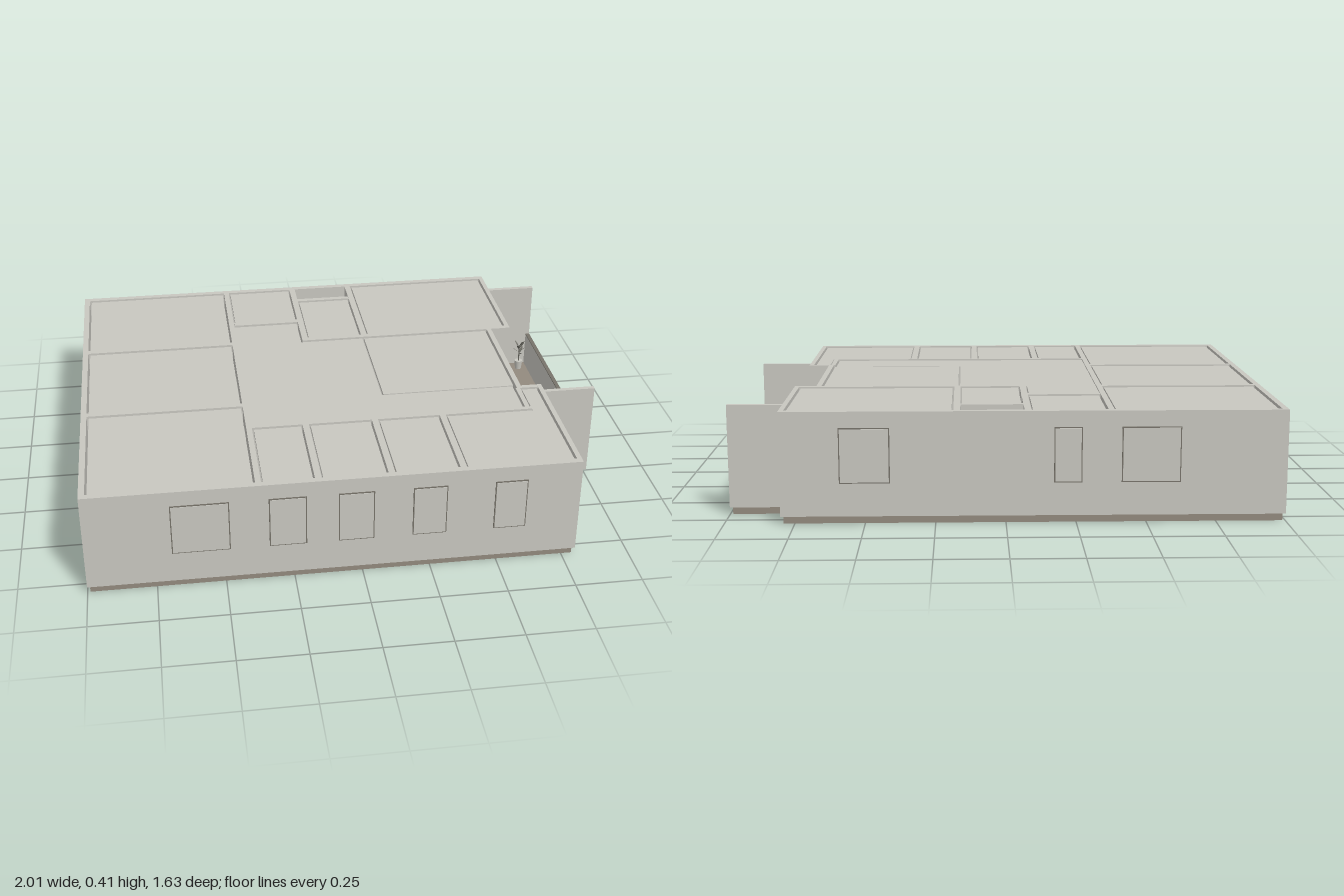
import * as THREE from 'three';

const FLOOR = 0.027, TOP = 0.405;

export function createModel() {
  const model = new THREE.Group();
  const plaster = new THREE.MeshStandardMaterial({ color: 0xc8c7c0 });
  plaster.name = 'pale grey plaster';
  const stone = new THREE.MeshStandardMaterial({ color: 0x938a7e });
  stone.name = 'brown floor';
  const trim = new THREE.MeshStandardMaterial({ color: 0x77736a });
  trim.name = 'dark trim';
  const leafMat = new THREE.MeshStandardMaterial({ color: 0x6b6a62, side: THREE.DoubleSide });
  leafMat.name = 'leaf grey';

  function add(name, geometry, material, parent = model) {
    const mesh = new THREE.Mesh(geometry, material);
    mesh.name = name;
    parent.add(mesh);
    return mesh;
  }
  // box given by its minimum and maximum corners
  function box(name, x0, x1, y0, y1, z0, z1, material = plaster, parent = model) {
    const mesh = add(name, new THREE.BoxGeometry(x1 - x0, y1 - y0, z1 - z0), material, parent);
    mesh.position.set((x0 + x1) / 2, (y0 + y1) / 2, (z0 + z1) / 2);
    return mesh;
  }
  // wall running along 'x' or 'z' from a to b, spanning c0..c1 across, with doorways [from, to]
  function wall(name, axis, a, b, c0, c1, doors = []) {
    const piece = (n, p, q, y0) => axis === 'x'
      ? box(n, p, q, y0, TOP, c0, c1) : box(n, c0, c1, y0, TOP, p, q);
    let start = a;
    for (const [p, q] of doors) {
      piece(name, start, p, FLOOR);
      piece(name + 'Lintel', p, q, 0.342);
      start = q;
    }
    piece(name, start, b, FLOOR);
  }

  // floor slab and balcony slab
  box('floorSlab', -0.99, 0.79, 0, FLOOR, -0.8, 0.8, stone);
  box('balconySlab', 0.79, 0.99, 0, FLOOR, -0.665, 0.28, stone);

  // outer walls
  wall('backWall', 'x', -1, 0.8, -0.81, -0.785);
  wall('frontWall', 'x', -1, 0.8, 0.785, 0.81);
  wall('entranceWall', 'z', -0.785, 0.785, -1, -0.978, [[-0.22, -0.093]]);
  wall('bedroomEndWall', 'z', -0.785, -0.28, 0.782, 0.8);
  wall('studyEndWall', 'z', 0.225, 0.785, 0.782, 0.8);
  wall('balconyDoorWall', 'z', -0.28, 0.225, 0.698, 0.718, [[-0.175, 0.13]]);

  // partitions
  wall('rearPartition', 'x', -0.978, -0.365, -0.302, -0.278);
  wall('bedroomPartition', 'x', -0.09, 0.782, -0.302, -0.278, [[-0.02, 0.08]]);
  wall('frontPartition', 'x', -0.978, -0.365, 0.218, 0.242);
  wall('balconyReturn', 'x', 0.698, 0.782, 0.225, 0.245);
  wall('bathPartition', 'x', -0.362, -0.065, -0.482, -0.455, [[-0.28, -0.19]]);
  wall('shaftPartition', 'x', -0.07, 0.16, -0.682, -0.66);
  wall('hallFrontPartition', 'x', -0.365, 0.715, 0.392, 0.41,
    [[-0.32, -0.22], [-0.08, 0.02], [0.18, 0.28], [0.45, 0.55]]);
  wall('hallPartition', 'z', -0.785, 0.785, -0.384, -0.363,
    [[-0.43, -0.34], [-0.113, 0.13], [0.28, 0.37]]);
  wall('bathSide', 'z', -0.785, -0.278, -0.09, -0.066);
  wall('bedroomSide', 'z', -0.785, -0.278, 0.161, 0.185);
  wall('studyNib', 'z', 0.245, 0.41, 0.692, 0.71);
  for (const x of [-0.16, 0.104, 0.365]) wall('frontRoomDivider', 'z', 0.41, 0.785, x - 0.012, x + 0.012);

  // ceilings, each a panel set just inside its walls: x0, x1, z0, z1
  const ceilings = [
    [-0.97, -0.391, -0.779, -0.309], [-0.97, -0.391, -0.271, 0.211], [-0.97, -0.391, 0.249, 0.778],
    [-0.356, -0.096, -0.779, -0.489], [-0.06, 0.155, -0.654, -0.309], [0.192, 0.775, -0.779, -0.309],
    [0.17, 0.691, -0.271, 0.213],
    [-0.363, -0.096, -0.448, -0.272], [-0.363, 0.163, -0.272, 0.386], [0.163, 0.686, 0.22, 0.386],
    [-0.356, -0.178, 0.416, 0.778], [-0.142, 0.086, 0.416, 0.778], [0.122, 0.347, 0.416, 0.778],
    [0.383, 0.775, 0.416, 0.778], [0.716, 0.775, 0.251, 0.416],
  ];
  for (const [x0, x1, z0, z1] of ceilings) box('ceiling', x0, x1, 0.388, 0.4, z0, z1);

  // windows: dark surround with a pale pane, both thin plates on the wall face
  // (x, z: point on the wall; turn: rotation about y; width, sill height)
  function windowPanel(x, z, turn, width, sill = 0.147) {
    const unit = new THREE.Group();
    unit.name = 'window';
    const h = 0.347 - sill;
    const surround = box('windowSurround', -width / 2, width / 2, sill, sill + h, -0.003, 0.003, trim, unit);
    surround.name = 'windowSurround';
    const e = 0.004;
    box('windowPane', -width / 2 + e, width / 2 - e, sill + e, sill + h - e, -0.003, 0.005, plaster, unit);
    unit.position.set(x, 0, z);
    unit.rotation.y = turn;
    model.add(unit);
  }
  for (const [a, b] of [[-0.69, -0.48], [-0.34, -0.205], [-0.09, 0.04], [0.18, 0.305], [0.48, 0.6]])
    windowPanel((a + b) / 2, 0.81, 0, b - a);
  for (const [a, b] of [[-0.62, -0.41], [-0.27, -0.17], [0.41, 0.59]])
    windowPanel((a + b) / 2, -0.81, Math.PI, b - a);
  for (const [a, b] of [[-0.615, -0.4], [0.515, 0.66]])
    windowPanel(-1, (a + b) / 2, -Math.PI / 2, b - a);
  windowPanel(0.8, 0.52, Math.PI / 2, 0.135);
  windowPanel(0.8, -0.437, Math.PI / 2, 0.17);

  // balcony walls and parapet
  box('balconySideWall', 0.8, 1, FLOOR, TOP, -0.675, -0.655);
  box('balconySideWall', 0.8, 1, FLOOR, TOP, 0.27, 0.288);
  box('parapet', 0.984, 1, FLOOR, 0.172, -0.655, 0.27);
  box('parapetCap', 0.984, 1, 0.172, 0.176, -0.655, 0.27, trim);

  // balcony table
  const tableTop = add('tableTop', new THREE.CylinderGeometry(0.028, 0.028, 0.005, 24), stone);
  tableTop.position.set(0.92, 0.105, 0.13);
  const tableStem = add('tableStem', new THREE.CylinderGeometry(0.004, 0.004, 0.076, 8), trim);
  tableStem.position.set(0.92, 0.065, 0.13);

  // two chairs facing the table
  for (const [z, turn] of [[0.075, 0.3], [0.19, -0.3]]) {
    const chair = new THREE.Group();
    chair.name = 'chair';
    box('chairSeat', -0.03, 0.03, 0.05, 0.062, -0.027, 0.027, plaster, chair);
    const side = z < 0.13 ? -1 : 1;
    box('chairBack', -0.03, 0.03, 0.062, 0.11, side * 0.025 - 0.004, side * 0.025 + 0.004, plaster, chair);
    for (const x of [-0.026, 0.026]) for (const dz of [-0.023, 0.023])
      box('chairLeg', x - 0.003, x + 0.003, 0, 0.05, dz - 0.003, dz + 0.003, trim, chair);
    chair.position.set(0.85, FLOOR, z);
    chair.rotation.y = -turn;
    model.add(chair);
  }

  // potted plants in the balcony corners
  const leafShape = new THREE.Shape();
  leafShape.moveTo(0, 0);
  leafShape.quadraticCurveTo(0.012, 0.025, 0, 0.042);
  leafShape.quadraticCurveTo(-0.012, 0.025, 0, 0);
  const leaf = new THREE.ShapeGeometry(leafShape, 4);
  for (const z of [-0.605, 0.22]) {
    const plant = new THREE.Group();
    plant.name = 'pottedPlant';
    add('pot', new THREE.CylinderGeometry(0.018, 0.014, 0.04, 12), plaster, plant).position.y = 0.02;
    add('stem', new THREE.CylinderGeometry(0.002, 0.003, 0.08, 6), leafMat, plant).position.y = 0.075;
    for (let i = 0; i < 9; i++) {
      const blade = add('leaf', leaf, leafMat, plant);
      blade.position.y = 0.07 + 0.005 * i;
      blade.rotation.set(0.95 - 0.05 * i, i * 2.4, 0, 'YXZ');
    }
    plant.position.set(0.945, FLOOR, z);
    model.add(plant);
  }

  // pendant lamp in the living room
  const shade = add('lampShade', new THREE.CylinderGeometry(0.026, 0.026, 0.016, 24), trim);
  shade.position.set(0.43, 0.297, 0.02);
  box('lampCord', 0.429, 0.431, 0.305, 0.39, 0.019, 0.021, trim);

  return model;
}
